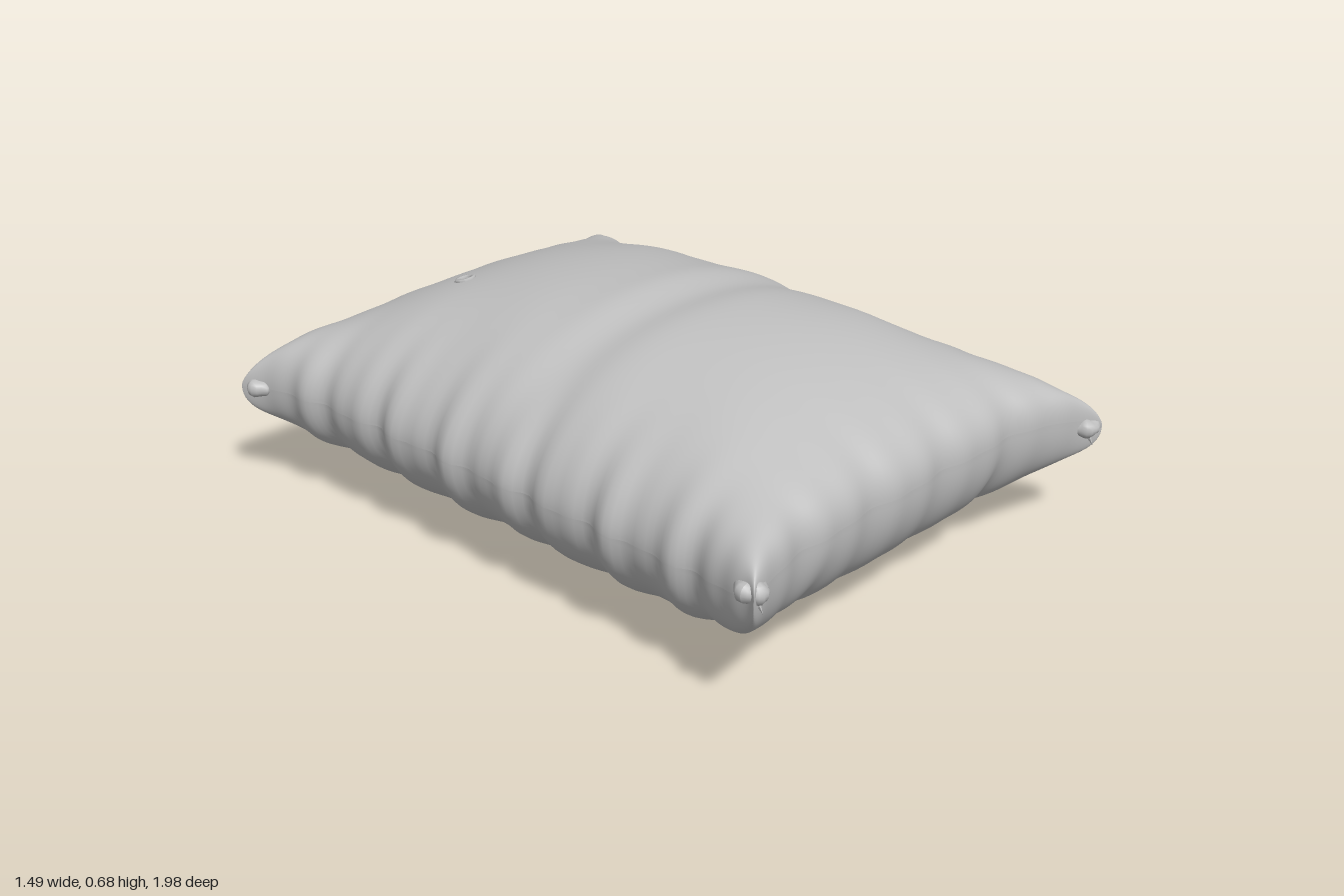
import * as THREE from 'three';

const grey = new THREE.MeshStandardMaterial({ color: 0xbfbfbf });
grey.name = 'grey cloth';
grey.side = THREE.DoubleSide;

const bump = (t, centre, width) => Math.exp(-(((t - centre) / width) ** 2));
const dome = (t, power, round) => Math.pow(Math.max(0, 1 - Math.pow(Math.abs(t), power)), round);
// Joins two profiles; a larger p fills out the corners
const join = (a, b, p) => Math.pow(Math.pow(a, -p) + Math.pow(b, -p) - 1, -1 / p);

// Point on the sack: u runs across, v front to back, both -1..1; side is 1 for top, -1 for bottom
function sackPoint(u, v, side) {
  const au = Math.abs(u), av = Math.abs(v);
  let x = u * (0.665 + 0.072 * av ** 6);
  let z = v * (0.897 + 0.082 * au ** 4) - 0.012;

  // Gathered pleats near the seam
  const calm = 1 - 0.7 * av ** 6;
  x += Math.sign(u) * au ** 5 * calm * (0.009 * Math.cos(z * 31 + u) + 0.006 * Math.sin(z * 53 + u * 2));
  z += Math.sign(v) * av ** 6 * (1 - au ** 6) * (0.007 * Math.cos(x * 21 + v) + 0.004 * Math.sin(x * 43));

  // Seam height rises along the two ends and tilts slightly at the corners
  const seam = 0.33 + 0.05 * av ** 8 * (1 - au ** 6) + au ** 5 * av ** 5 * (0.025 - 0.03 * u * v);

  // Puffed ears at the corners
  const ear = 0.04 * (au * av) ** 7 * dome(u, 10, 0.5) * dome(v, 10, 0.5);

  let h;
  if (side > 0) {
    h = 0.355 * join(dome(u, 2.1, 0.55), dome(v, 2.6, 0.5), 1.2);
    h *= 1 - 0.045 * bump(z, 0.07, 0.08) + 0.01 * bump(z, -0.05, 0.06);
    h *= 1 + 0.03 * au ** 2 * Math.sin(z * 16 + u * 3) - 0.08 * bump(x, 0.5, 0.06) * bump(z, 0.33, 0.12);
  } else {
    h = 0.325 * join(dome(u, 2.3, 0.46), dome(v, 3.3, 0.42), 2.5);
    h *= 1 + 0.04 * au ** 3 * Math.cos(z * 31 + u) - 0.04 * bump(z, 0, 0.07);
    const fold = bump(x, 0.38, 0.04) + bump(x, -0.38, 0.04);
    h *= 1 - 0.1 * av ** 4 * fold;
    z -= Math.sign(v) * 0.015 * av ** 5 * (1 - av ** 8) * fold;
  }
  return new THREE.Vector3(x, seam + side * (h + ear), z);
}

// One half of the cover, with points packed towards the seam
function coverHalf(name, side) {
  const geo = new THREE.PlaneGeometry(2, 2, 100, 120);
  geo.rotateX(-side * Math.PI / 2);
  const pos = geo.attributes.position;
  for (let i = 0; i < pos.count; i++) {
    const u = Math.sin(pos.getX(i) * Math.PI / 2);
    const v = Math.sin(pos.getZ(i) * Math.PI / 2);
    const p = sackPoint(u, v, side);
    pos.setXYZ(i, p.x, p.y, p.z);
  }
  geo.computeVertexNormals();
  const mesh = new THREE.Mesh(geo, grey);
  mesh.name = name;
  return mesh;
}

// Crumpled tuft with two loose ends, tucked into a corner
function cornerTuft(sx, sz) {
  const group = new THREE.Group();
  group.name = (sz > 0 ? 'front' : 'back') + (sx > 0 ? 'Left' : 'Right') + 'CornerTuft';
  const geo = new THREE.SphereGeometry(0.036, 18, 12);
  const pos = geo.attributes.position;
  const p = new THREE.Vector3();
  for (let i = 0; i < pos.count; i++) {
    p.fromBufferAttribute(pos, i);
    p.multiplyScalar(1 + 0.15 * Math.sin(p.x * 130 + sx) * Math.cos(p.z * 110 + sz));
    pos.setXYZ(i, p.x * 1.1, p.y * 0.8, p.z * 1.25);
  }
  geo.computeVertexNormals();
  const crumple = new THREE.Mesh(geo, grey);
  crumple.name = 'crumple';
  group.add(crumple);
  for (let i = 0; i < 2; i++) {
    const end = new THREE.Mesh(new THREE.ConeGeometry(0.01, 0.04, 5), grey);
    end.name = 'looseEnd';
    const dir = new THREE.Vector3(sx * 0.3 * i, -0.9, sz * (0.6 - 0.4 * i)).normalize();
    end.quaternion.setFromUnitVectors(new THREE.Vector3(0, 1, 0), dir);
    end.position.copy(dir).multiplyScalar(0.04);
    group.add(end);
  }
  group.position.copy(sackPoint(sx, sz, 1));
  group.position.x -= sx * 0.036;
  group.position.z -= sz * 0.036;
  return group;
}

// Small raised ring on the top
function topRing() {
  const mesh = new THREE.Mesh(new THREE.TorusGeometry(0.026, 0.007, 6, 12), grey);
  mesh.name = 'topRing';
  const u = -0.305, v = -0.66;
  const p = sackPoint(u, v, 1);
  const du = sackPoint(u + 0.03, v, 1).sub(p);
  const dv = sackPoint(u, v + 0.03, 1).sub(p);
  mesh.quaternion.setFromUnitVectors(new THREE.Vector3(0, 0, 1), dv.cross(du).normalize());
  mesh.position.copy(p);
  return mesh;
}

export function createModel() {
  const model = new THREE.Group();
  model.name = 'stuffedSack';
  model.add(coverHalf('topCover', 1), coverHalf('bottomCover', -1), topRing());
  for (const sx of [-1, 1]) for (const sz of [-1, 1]) model.add(cornerTuft(sx, sz));
  return model;
}
